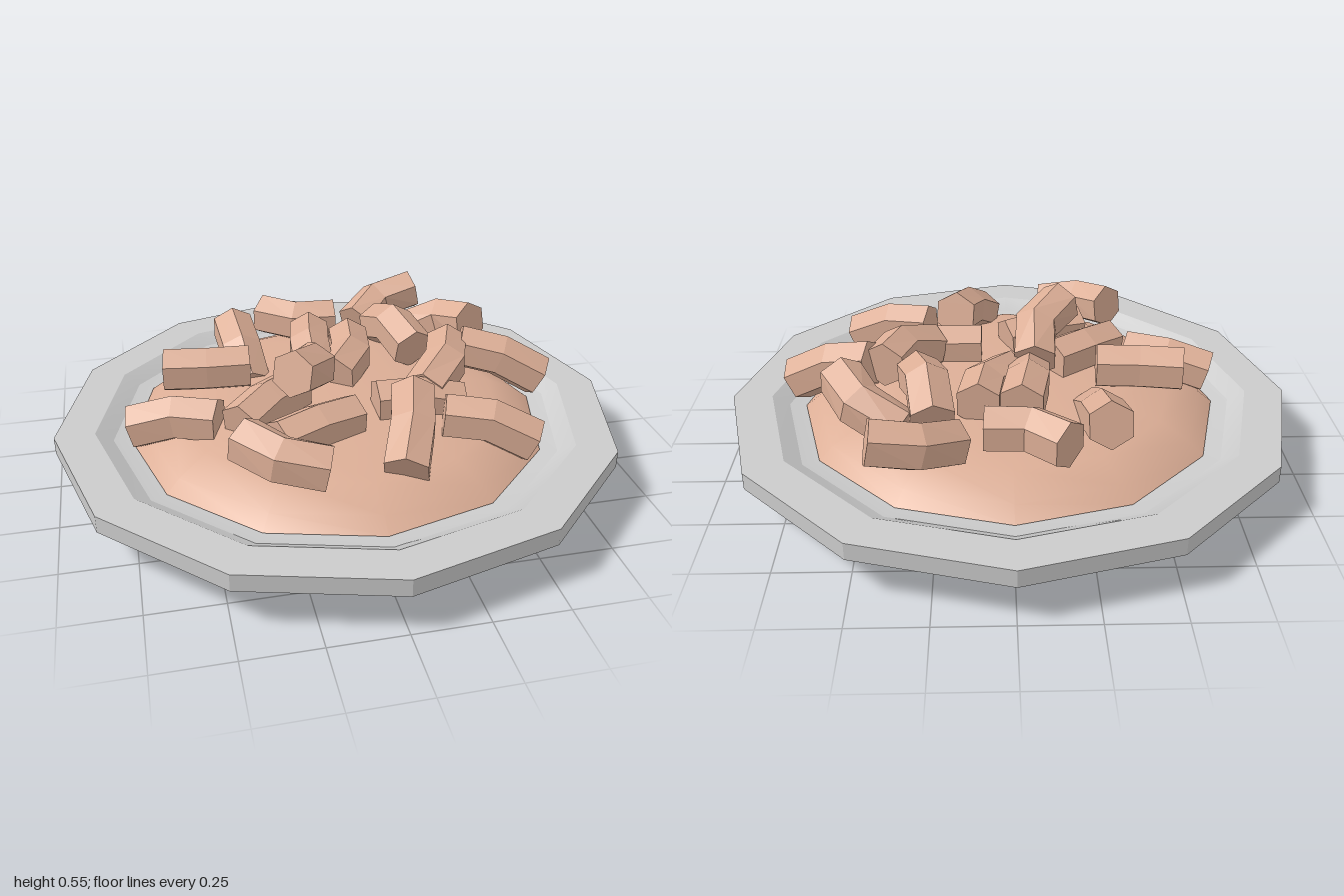
import * as THREE from 'three';
import { toCreasedNormals } from 'three/addons/utils/BufferGeometryUtils.js';

const SIDES = 12;
const plateMat = new THREE.MeshStandardMaterial({ color: 0xcccccc });
const sauceMat = new THREE.MeshStandardMaterial({ color: 0xdcae96 });
const pastaMat = new THREE.MeshStandardMaterial({ color: 0xdcae96, flatShading: true });

function lathe(name, profile, material, crease) {
  const points = profile.map(([r, y]) => new THREE.Vector2(r, y));
  const geometry = toCreasedNormals(new THREE.LatheGeometry(points, SIDES), crease);
  const mesh = new THREE.Mesh(geometry, material);
  mesh.name = name;
  return mesh;
}

// Start, bend and end of a piece: two equal arms that turn by `turn` degrees
// about `heading`, climb by `rise` either side and sag by `arch` at the ends.
function piecePath(x, y, z, heading, turn, rise, arch, arm = 0.15) {
  const point = (sign) => {
    const a = THREE.MathUtils.degToRad(heading + (sign * turn) / 2);
    return new THREE.Vector3(
      x + sign * arm * Math.cos(a), y + sign * rise - arch, z + sign * arm * Math.sin(a));
  };
  return [point(-1), new THREE.Vector3(x, y, z), point(1)];
}

// A bent hexagonal bar: one ring per path point, capped at both ends
function bentBar(pts, radius = 0.082, sides = 6) {
  const up = new THREE.Vector3(0, 1, 0);
  const positions = [];
  const index = [];
  pts.forEach((p, i) => {
    const dir = pts[Math.min(i + 1, pts.length - 1)].clone().sub(pts[Math.max(i - 1, 0)]).normalize();
    const side = new THREE.Vector3().crossVectors(up, dir).normalize();
    const top = new THREE.Vector3().crossVectors(dir, side);
    for (let s = 0; s < sides; s++) {
      const a = ((s + 0.5) / sides) * Math.PI * 2;
      const v = p.clone().addScaledVector(side, Math.cos(a) * radius).addScaledVector(top, Math.sin(a) * radius);
      positions.push(v.x, v.y, v.z);
    }
  });
  for (let i = 0; i < pts.length - 1; i++) {
    for (let s = 0; s < sides; s++) {
      const a = i * sides + s;
      const b = i * sides + ((s + 1) % sides);
      index.push(a, b, b + sides, a, b + sides, a + sides);
    }
  }
  const last = (pts.length - 1) * sides;
  for (let s = 1; s < sides - 1; s++) {
    index.push(0, s + 1, s, last, last + s, last + s + 1);
  }
  const geometry = new THREE.BufferGeometry();
  geometry.setAttribute('position', new THREE.Float32BufferAttribute(positions, 3));
  geometry.setIndex(index);
  geometry.computeVertexNormals();
  return geometry;
}

// Bend position, heading, turn, rise and arch of each pasta piece
const pieces = [
  // back
  [-0.06, 0.34, -0.48, 22, -36, 0, 0],
  [0.3, 0.35, -0.59, -24, 35, 0.04, 0.01],
  [0.5, 0.36, -0.34, 42, 39, 0.05, 0.02],
  [-0.3, 0.31, -0.33, 85, 0, -0.06, 0.02],
  // middle
  [-0.06, 0.36, -0.2, 97, -7, -0.02, 0.03],
  [0.09, 0.33, -0.16, 112, 28, -0.01, 0.01],
  [0.28, 0.39, -0.26, 78, -6, 0.01, 0.05],
  [-0.45, 0.36, -0.1, 6, -5, 0, 0],
  [-0.58, 0.29, 0.1, 18, 8, 0.02, 0.02],
  [-0.27, 0.32, 0.12, -41, 8, 0.01, 0.01],
  [-0.1, 0.43, 0.1, -68, -35, -0.055, 0.015],
  [0.39, 0.37, 0.05, 122, 25, -0.025, 0.025],
  [0.25, 0.31, 0.18, 0, -2, -0.02, 0.02],
  [0.62, 0.34, -0.02, 18, -3, -0.055, 0.025],
  // front
  [-0.13, 0.31, 0.3, -23, 0, 0, 0.01],
  [-0.29, 0.34, 0.52, 31, -33, -0.025, 0.005],
  [0.16, 0.35, 0.43, 109, 8, -0.06, 0.02],
  [0.44, 0.31, 0.38, 18, 0, -0.04, 0.03],
];

export function createModel() {
  const model = new THREE.Group();
  model.name = 'plateOfPasta';

  // Plate: flat foot, flared underside, upright rim, shallow well
  model.add(lathe('plate', [
    [0, 0], [0.77, 0], [0.83, 0.04], [1, 0.14], [1, 0.2],
    [0.86, 0.2], [0.8, 0.165], [0.72, 0.15], [0, 0.15],
  ], plateMat, 0.3));

  // Low mound of sauce filling the well
  model.add(lathe('sauceMound', [
    [0.74, 0.16], [0.69, 0.2], [0.58, 0.25], [0.4, 0.275], [0, 0.28],
  ], sauceMat, 0.8));

  // Heap of bent pasta pieces
  const pasta = new THREE.Group();
  pasta.name = 'pasta';
  pieces.forEach((piece, i) => {
    const mesh = new THREE.Mesh(bentBar(piecePath(...piece)), pastaMat);
    mesh.name = `pastaPiece${i + 1}`;
    pasta.add(mesh);
  });
  model.add(pasta);
  return model;
}
